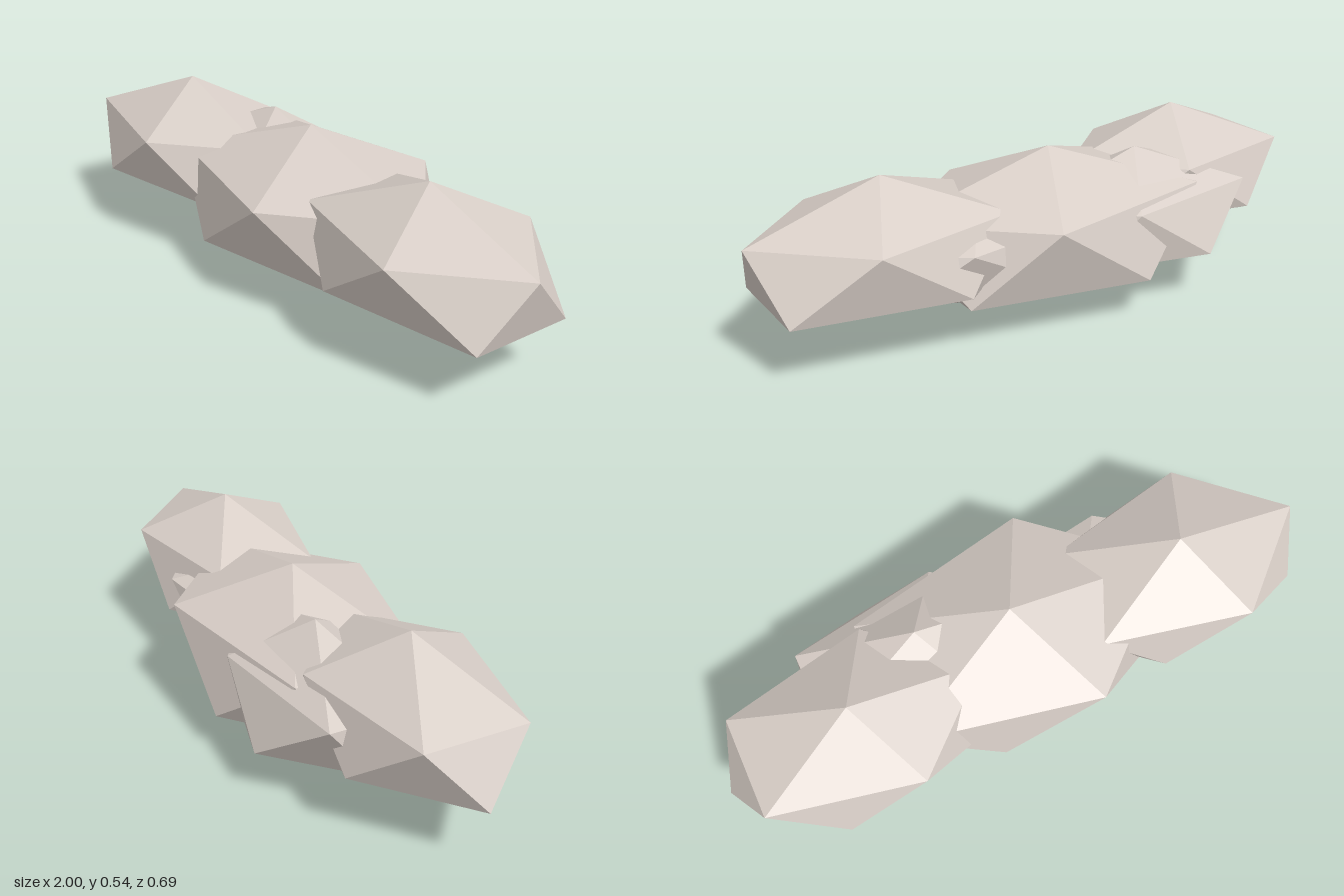
import * as THREE from 'three';

// A faceted boulder: two staggered rings of five points between a top and a bottom pole.
// Each ring is [centre x, centre z, radius x, radius z, height]; the poles are heights.
function boulder(topY, upper, lower, bottomY) {
  const point = ([cx, cz, rx, rz, y], degrees) => {
    const a = degrees * Math.PI / 180;
    return [cx + rx * Math.cos(a), y, cz + rz * Math.sin(a)];
  };
  const top = [upper[0], topY, upper[1]], bottom = [upper[0], bottomY, upper[1]];
  const corners = [];
  for (let i = 0; i < 5; i++) {
    const u0 = point(upper, i * 72), u1 = point(upper, i * 72 + 72);
    const l0 = point(lower, i * 72 + 36), l1 = point(lower, i * 72 + 108);
    corners.push(top, u1, u0, u0, u1, l0, l0, u1, l1, bottom, l0, l1);
  }
  const geometry = new THREE.BufferGeometry();
  geometry.setAttribute('position', new THREE.Float32BufferAttribute(corners.flat(), 3));
  geometry.computeVertexNormals();
  return geometry;
}

export function createModel() {
  const group = new THREE.Group();
  group.name = 'rockCluster';
  const stone = new THREE.MeshStandardMaterial({ color: 0xd8cec7, flatShading: true });
  stone.name = 'pale warm stone';

  const rocks = [
    // three main boulders in a row
    ['centreRock', 0.515, [0, -0.007, 0.55, 0.355, 0.367], [0, -0.02, 0.51, 0.342, 0.138], 0],
    ['rightRock', 0.543, [-0.567, 0.08, 0.428, 0.28, 0.4], [-0.567, 0.077, 0.433, 0.281, 0.218], 0.108],
    ['leftRock', 0.527, [0.575, 0.01, 0.425, 0.288, 0.391], [0.575, 0, 0.462, 0.285, 0.203], 0.112],
    // filler boulders tucked behind the joints
    ['rightBackRock', 0.478, [-0.29, -0.075, 0.445, 0.235, 0.338], [-0.3, -0.07, 0.37, 0.275, 0.16], 0.075],
    ['leftBackRock', 0.4, [0.295, -0.07, 0.4, 0.2, 0.325], [0.29, -0.07, 0.4, 0.19, 0.19], 0.078],
  ];
  for (const [name, ...shape] of rocks) {
    const mesh = new THREE.Mesh(boulder(...shape), stone);
    mesh.name = name;
    group.add(mesh);
  }
  return group;
}
